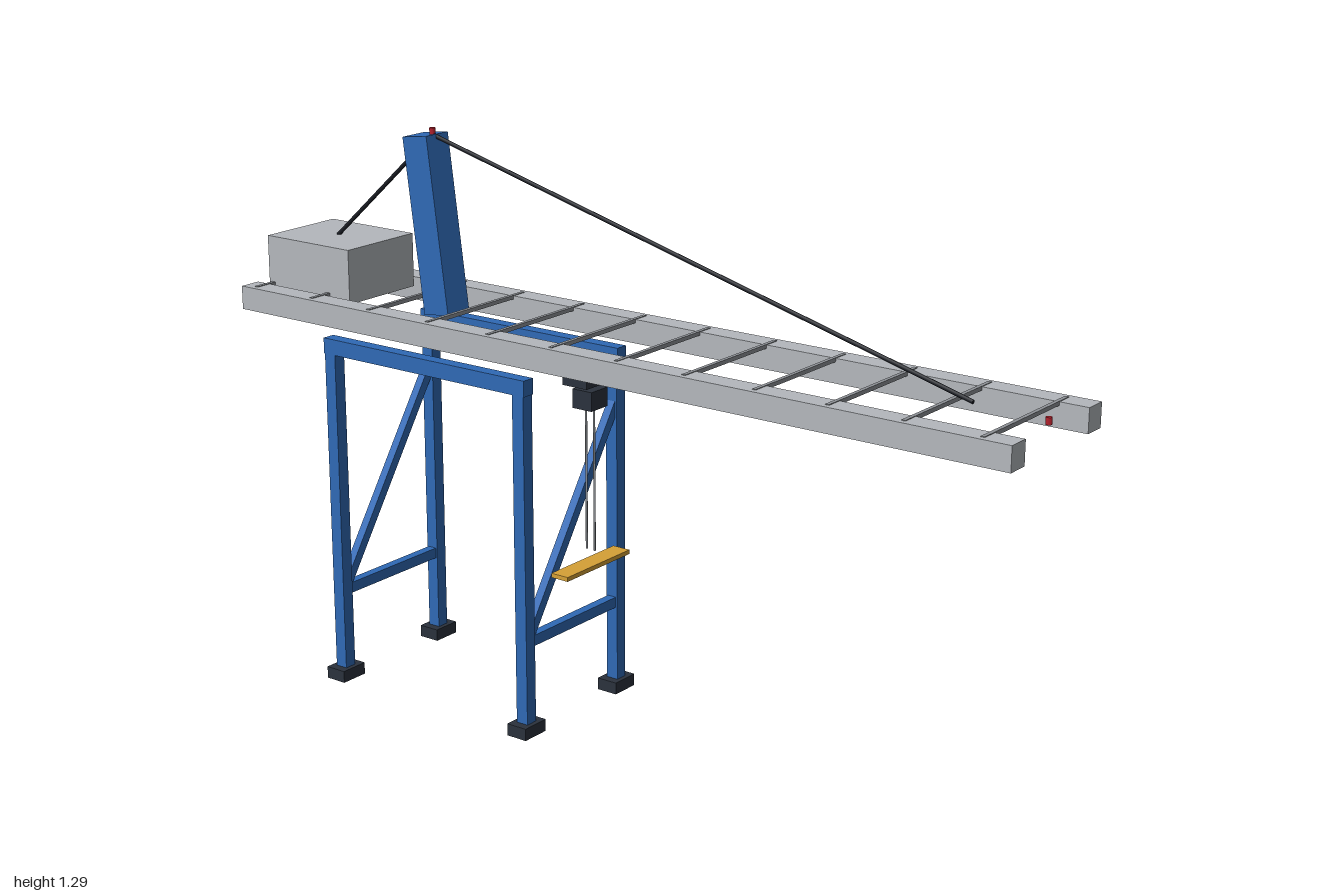
import * as THREE from 'three';

const mat = (name, color) => {
  const m = new THREE.MeshStandardMaterial({ color });
  m.name = name;
  return m;
};

export function createModel() {
  const blue = mat('frame blue', 0x2f69b5);
  const grey = mat('girder grey', 0xb4b8bd);
  const steel = mat('rung steel', 0x8f9398);
  const dark = mat('machinery dark', 0x2b323d);
  const black = mat('cable black', 0x1b1e25);
  const yellow = mat('spreader yellow', 0xd6a136);
  const red = mat('beacon red', 0xb3202c);

  const crane = new THREE.Group();
  crane.name = 'gantryCrane';

  const add = (parent, name, geometry, material, x, y, z) => {
    const mesh = new THREE.Mesh(geometry, material);
    mesh.name = name;
    mesh.position.set(x, y, z);
    parent.add(mesh);
    return mesh;
  };
  const box = (parent, name, material, w, h, d, x, y, z) =>
    add(parent, name, new THREE.BoxGeometry(w, h, d), material, x, y, z);

  // Straight member between two points
  const strut = (parent, name, material, a, b, makeGeometry) => {
    const from = new THREE.Vector3(...a), to = new THREE.Vector3(...b);
    const dir = to.clone().sub(from);
    const mid = from.clone().add(to).multiplyScalar(0.5);
    const mesh = add(parent, name, makeGeometry(dir.length()), material, mid.x, mid.y, mid.z);
    mesh.quaternion.setFromUnitVectors(new THREE.Vector3(0, 1, 0), dir.normalize());
    return mesh;
  };
  const rod = (r) => (len) => new THREE.CylinderGeometry(r, r, len, 8);
  const bar = (w, d) => (len) => new THREE.BoxGeometry(w, len, d);

  // Portal: legs, feet, sill braces, diagonals and top beams
  const portal = new THREE.Group();
  portal.name = 'portal';
  crane.add(portal);
  const legZ = 0.163;
  for (const x of [-0.73, -0.185]) {
    for (const z of [-legZ, legZ]) {
      box(portal, 'leg', blue, 0.03, 0.8, 0.03, x, 0.4, z);
      box(portal, 'foot', dark, 0.052, 0.028, 0.07, x, 0.016, z);
    }
    box(portal, 'sillBrace', blue, 0.022, 0.025, 0.356, x, 0.219, 0);
    strut(portal, 'diagonalBrace', blue, [x, 0.217, legZ], [x, 0.7, -legZ], bar(0.02, 0.022));
  }
  for (const z of [-legZ, legZ]) {
    box(portal, 'topBeam', blue, 0.58, 0.036, 0.031, -0.457, 0.803, z);
  }

  // Boom: twin girders, rungs and small rail clips
  const boom = new THREE.Group();
  boom.name = 'boom';
  crane.add(boom);
  for (const z of [-0.152, 0.152]) {
    box(boom, 'girder', grey, 2, 0.054, 0.052, 0, 0.875, z);
  }
  for (let i = 0; i < 12; i++) {
    box(boom, 'rung', steel, 0.009, 0.009, 0.33, -0.967 + i * 0.1725, 0.899, 0);
  }
  for (let i = 0; i < 5; i++) {
    box(boom, 'railClip', steel, 0.025, 0.01, 0.012, -0.82 + i * 0.364, 0.842, 0);
  }

  // Counterweight and leaning mast
  box(crane, 'counterweight', grey, 0.25, 0.125, 0.216, -0.855, 0.948, 0);
  box(crane, 'mast', blue, 0.07, 0.4, 0.072, -0.561, 1.075, 0).rotation.z = 0.13;

  // Stay cables
  const head = [-0.565, 1.275, 0];
  strut(crane, 'frontStay', black, head, [0.815, 0.91, 0], rod(0.005));
  strut(crane, 'rearStay', black, head, [-0.86, 1.01, 0], rod(0.005));

  // Warning beacons
  for (const [x, y] of [[-0.565, 1.283], [0.98, 0.903]]) {
    add(crane, 'beacon', new THREE.CylinderGeometry(0.007, 0.007, 0.015, 8), red, x, y, 0);
  }

  // Trolley, hoist ropes and spreader
  const hoist = new THREE.Group();
  hoist.name = 'hoist';
  hoist.position.x = -0.129;
  crane.add(hoist);
  box(hoist, 'trolley', dark, 0.066, 0.052, 0.107, 0, 0.811, 0);
  box(hoist, 'hoistBlock', dark, 0.052, 0.043, 0.056, 0, 0.75, 0);
  for (const x of [-0.011, 0.011]) {
    strut(hoist, 'hoistRope', steel, [x, 0.73, 0], [x, 0.4, 0], rod(0.0025));
  }
  box(hoist, 'spreader', yellow, 0.045, 0.01, 0.222, 0, 0.367, 0);

  return crane;
}
